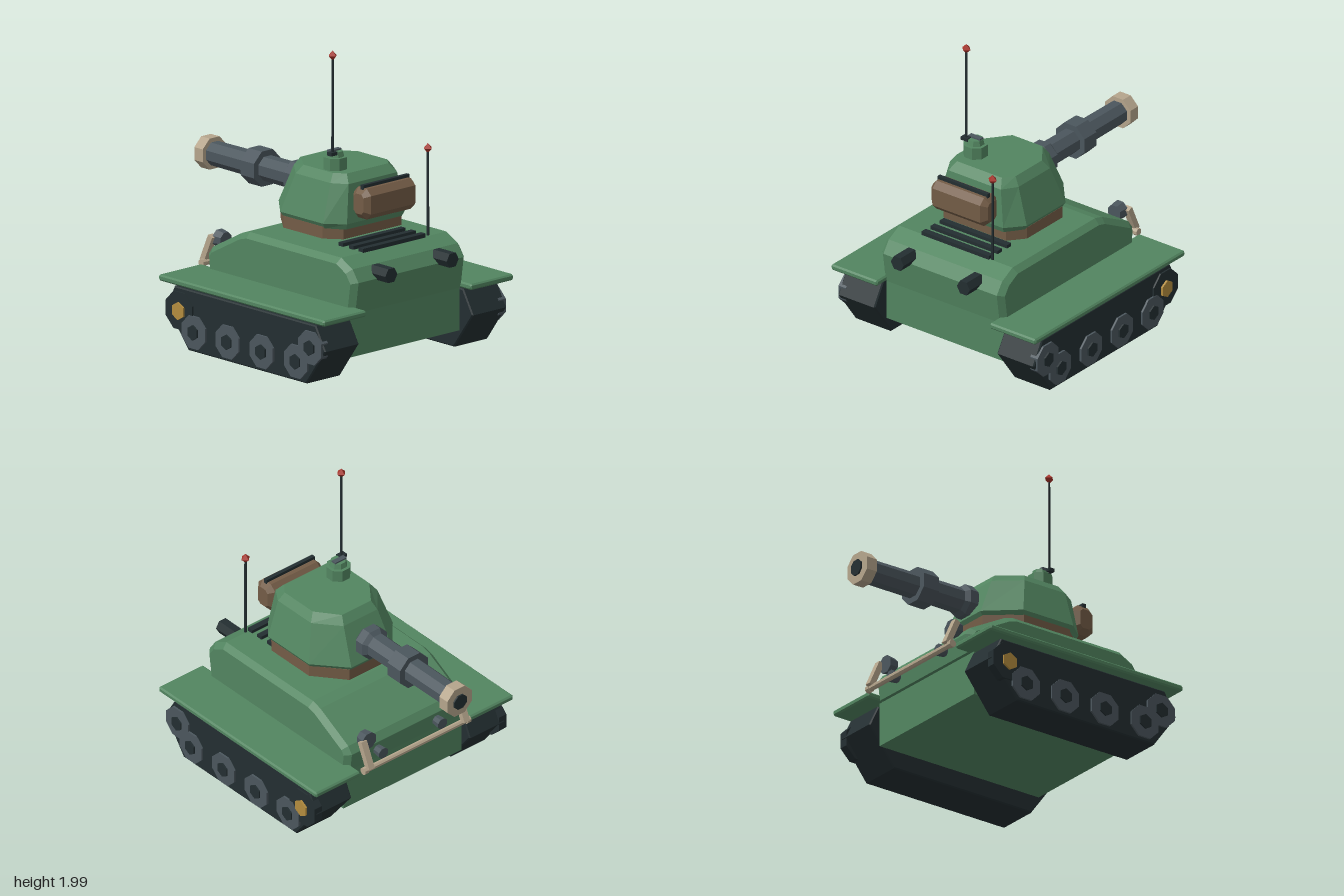
import * as THREE from 'three';

const material = (name, color, opts = {}) => {
  const m = new THREE.MeshStandardMaterial({ color, flatShading: true, ...opts });
  m.name = name;
  return m;
};

export function createModel() {
  const tank = new THREE.Group();
  tank.name = 'tank';
  const green = material('armour green', 0x528560);
  const dark = material('track black', 0x232e31);
  const grey = material('gunmetal', 0x4b565d);
  const brown = material('canvas brown', 0x735c46);
  const tan = material('tan metal', 0xb5a58c);
  const gold = material('brass', 0xb38c3e);
  const red = material('signal red', 0xa83228);

  const add = (name, geometry, mat, x = 0, y = 0, z = 0) => {
    const mesh = new THREE.Mesh(geometry, mat);
    mesh.name = name;
    mesh.position.set(x, y, z);
    tank.add(mesh);
    return mesh;
  };
  const box = (w, h, d) => new THREE.BoxGeometry(w, h, d);

  // Prism along x from a [z, y] profile, with chamfered ends
  const prismX = (profile, width, bevel) => {
    const shape = new THREE.Shape(profile.map(([z, y]) => new THREE.Vector2(z, y)));
    const g = new THREE.ExtrudeGeometry(shape, {
      depth: width - 2 * bevel, bevelEnabled: bevel > 0, bevelSegments: 1,
      bevelSize: bevel, bevelThickness: bevel, bevelOffset: -bevel,
    });
    return g.translate(0, 0, bevel - width / 2).rotateY(-Math.PI / 2);
  };
  // Rectangle profile with cut corners
  const cutRect = (z0, z1, y0, y1, c) => [
    [z0 + c, y0], [z1 - c, y0], [z1, y0 + c], [z1, y1 - c],
    [z1 - c, y1], [z0 + c, y1], [z0, y1 - c], [z0, y0 + c],
  ];
  // Cylinders with a flat side facing up
  const rodX = (r, len, n) =>
    new THREE.CylinderGeometry(r, r, len, n).rotateY(Math.PI / n).rotateZ(Math.PI / 2);
  const rodZ = (r0, r1, len, n) =>
    new THREE.CylinderGeometry(r0, r1, len, n).rotateY(Math.PI / n).rotateX(-Math.PI / 2);

  // Eight-sided ring: sides at xs from z1 to z2, front edge xf at zf, back edge xb at zb
  const ring = (y, xs, z1, z2, xf, zf, xb, zb) => [
    [xs, y, z1], [xs, y, z2], [xb, y, zb], [-xb, y, zb],
    [-xs, y, z2], [-xs, y, z1], [-xf, y, zf], [xf, y, zf],
  ];
  // Closed solid through stacked rings, bottom to top
  const loft = (rings) => {
    const pos = [];
    const tri = (...p) => p.forEach((v) => pos.push(...v));
    const n = rings[0].length;
    for (let i = 0; i < rings.length - 1; i++) {
      for (let j = 0; j < n; j++) {
        const k = (j + 1) % n, a = rings[i], b = rings[i + 1];
        tri(a[j], b[j], a[k]);
        tri(a[k], b[j], b[k]);
      }
    }
    const low = rings[0], top = rings[rings.length - 1];
    for (let j = 1; j < n - 1; j++) {
      tri(low[0], low[j], low[j + 1]);
      tri(top[0], top[j + 1], top[j]);
    }
    const g = new THREE.BufferGeometry();
    g.setAttribute('position', new THREE.Float32BufferAttribute(pos, 3));
    g.computeVertexNormals();
    return g;
  };

  // Hull
  add('lowerHull', box(0.98, 0.31, 1.26), green, 0, 0.275, 0.195);
  add('upperHull', prismX([
    [-0.46, 0.415], [0.87, 0.415], [0.9, 0.62], [0.845, 0.7], [0.74, 0.755],
    [-0.1, 0.755], [-0.17, 0.735], [-0.44, 0.59], [-0.475, 0.54],
  ], 0.98, 0.036), green);
  for (const z of [0.725, 0.635, 0.54]) add('engineVent', box(0.54, 0.03, 0.042), dark, 0, 0.763, z);

  // Running gear, fenders and fittings on both sides
  for (const s of [-1, 1]) {
    add('track', prismX([
      [-0.32, 0], [0.77, 0], [0.945, 0.24], [0.855, 0.395], [-0.445, 0.395], [-0.515, 0.25],
    ], 0.295, 0.008), dark, s * 0.637);
    add('fender', prismX(cutRect(-0.555, 0.972, 0.415, 0.455, 0.01), 0.37, 0.01), green, s * 0.635);
    const wheels = [[0.815, 0.245], [0.685, 0.13], [0.37, 0.13], [0.055, 0.13], [-0.255, 0.13]];
    for (const [z, y] of wheels) {
      add('wheel', rodX(0.115, 0.06, 8), grey, s * 0.768, y, z);
      add('wheelHub', rodX(0.05, 0.05, 6), dark, s * 0.784, y, z);
    }
    add('sprocket', rodX(0.132, 0.06, 8), dark, s * 0.765, 0.245, -0.39);
    add('sprocketHub', rodX(0.058, 0.05, 6), gold, s * 0.784, 0.245, -0.39);

    add('exhaust', rodZ(0.052, 0.052, 0.15, 6), dark, s * 0.265, 0.655, 0.925);
    add('headlight', rodZ(0.062, 0.052, 0.065, 8), grey, s * 0.338, 0.612, -0.475);
    add('smallLight', rodZ(0.04, 0.034, 0.06, 8), grey, s * 0.245, 0.49, -0.508);
    const brace = add('guardBrace', box(0.045, 0.19, 0.04), tan, s * 0.395, 0.55, -0.545);
    brace.rotation.x = 0.42;
    add('guardBarEnd', rodX(0.026, 0.03, 8), tan, s * 0.425, 0.455, -0.565);
  }
  add('guardBar', rodX(0.02, 0.86, 8), tan, 0, 0.455, -0.565);

  // Turret
  add('turretRing', new THREE.CylinderGeometry(0.09, 0.09, 0.035, 12), green, 0, 0.77, 0.03).scale.x = 1.3;
  add('turretNeck', new THREE.CylinderGeometry(0.07, 0.07, 0.05, 8), brown, 0, 0.79, 0.03);
  add('turretBase', loft([
    ring(0.797, 0.335, 0.08, 0.44, 0.17, -0.122, 0.25, 0.545),
    ring(0.875, 0.335, 0.08, 0.44, 0.17, -0.122, 0.25, 0.545),
  ]), brown);
  add('turretBody', loft([
    ring(0.862, 0.325, 0.08, 0.45, 0.16, -0.115, 0.24, 0.56),
    ring(0.9, 0.348, 0.065, 0.46, 0.17, -0.138, 0.25, 0.576),
    ring(1.15, 0.275, 0.13, 0.45, 0.14, -0.03, 0.21, 0.548),
    ring(1.205, 0.235, 0.16, 0.43, 0.12, 0.01, 0.18, 0.5),
  ]), green);
  add('stowagePack', prismX(cutRect(0.575, 0.735, 0.945, 1.145, 0.04), 0.45, 0.035), brown);
  add('packRail', box(0.4, 0.03, 0.026), dark, 0, 1.15, 0.66);

  // Commander's cupola
  add('cupola', new THREE.CylinderGeometry(0.08, 0.08, 0.1, 8).rotateY(Math.PI / 8), green, -0.145, 1.235, 0.355);
  add('cupolaLid', new THREE.CylinderGeometry(0.05, 0.06, 0.04, 8).rotateY(Math.PI / 8), green, -0.145, 1.3, 0.355);
  add('lidHandle', box(0.095, 0.018, 0.035), grey, -0.148, 1.321, 0.35);

  // Antennas
  for (const [x, z, y0, y1] of [[-0.195, 0.385, 1.3, 1.955], [0.295, 0.74, 0.76, 1.33]]) {
    add('antennaRod', new THREE.CylinderGeometry(0.008, 0.009, y1 - y0, 6), dark, x, (y0 + y1) / 2, z);
    add('antennaTip', new THREE.OctahedronGeometry(0.033), red, x, y1, z);
  }
  add('antennaFoot', box(0.055, 0.022, 0.04), dark, -0.198, 1.315, 0.385);

  // Gun, pointing to -z
  const gunY = 1.022;
  const mantlet = [[0.085, -0.08], [0.112, -0.105], [0.112, -0.165], [0.085, -0.192]];
  for (let i = 0; i < 3; i++) {
    const [r0, z0] = mantlet[i], [r1, z1] = mantlet[i + 1];
    add('mantlet', rodZ(r1, r0, z0 - z1, 8), grey, 0, gunY, (z0 + z1) / 2);
  }
  add('barrel', rodZ(0.08, 0.086, 0.83, 8), grey, 0, gunY, -0.515);
  add('barrelSleeve', rodZ(0.124, 0.124, 0.122, 8), grey, 0, gunY, -0.485);
  add('muzzle', rodZ(0.11, 0.11, 0.078, 8), tan, 0, gunY, -0.948);
  add('bore', rodZ(0.055, 0.055, 0.04, 8), dark, 0, gunY, -0.978);

  return tank;
}
